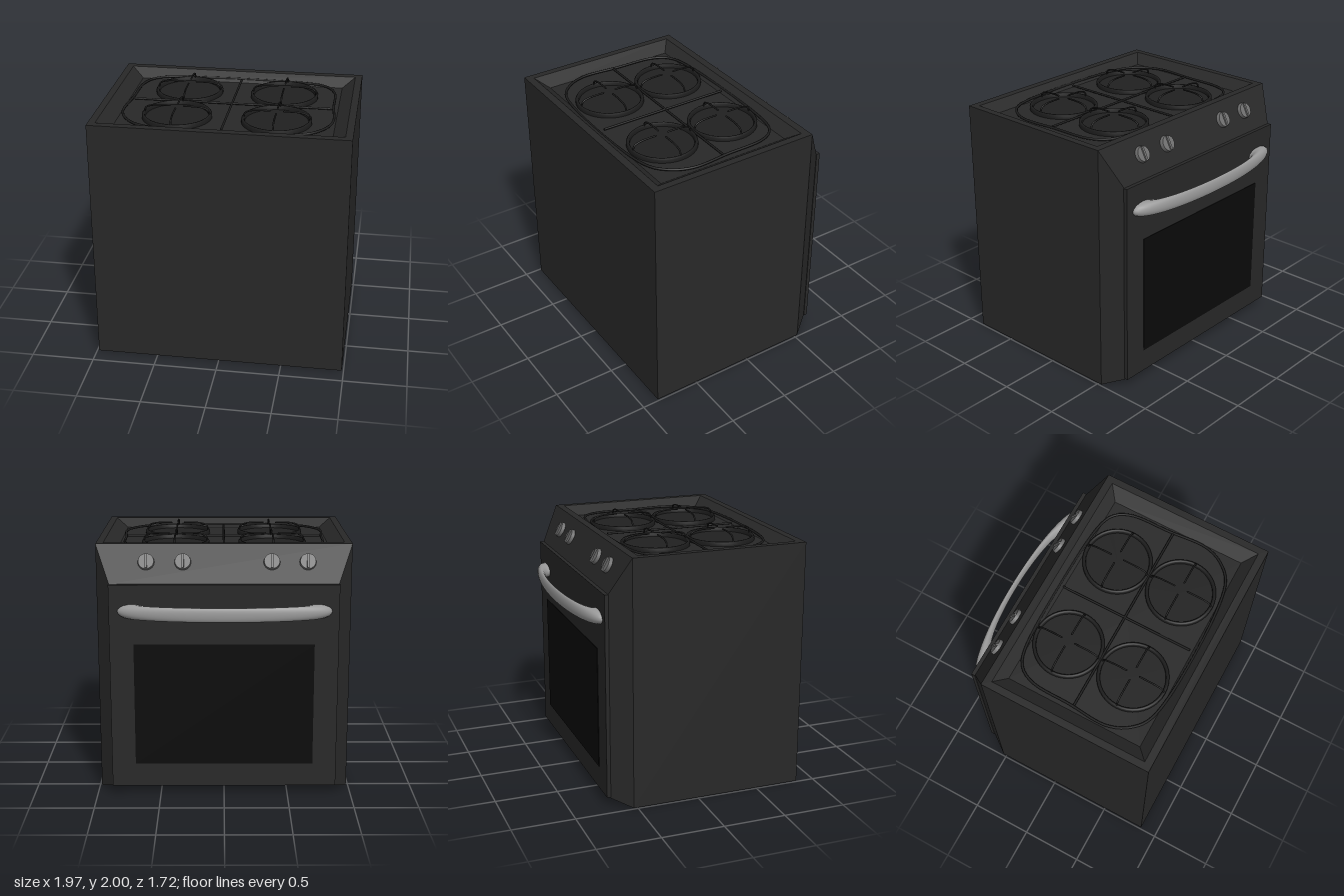
import * as THREE from 'three';

const paint = (color) => new THREE.MeshStandardMaterial({ color });
const enamel = paint(0x282828);
const iron = paint(0x1c1c1c);
const burnerBlack = paint(0x202020);
const glass = paint(0x0a0a0a);
const metal = paint(0x999999);
const knobGrey = paint(0x707070);

function add(parent, name, geometry, material, x = 0, y = 0, z = 0) {
  const mesh = new THREE.Mesh(geometry, material);
  mesh.name = name;
  mesh.position.set(x, y, z);
  parent.add(mesh);
  return mesh;
}

// Flat-shaded skin through a stack of rectangles [halfWidth, zMin, zMax, y]
function stackedRectangles(levels) {
  const loops = levels.map(([w, z0, z1, y]) => [[-w, y, z0], [-w, y, z1], [w, y, z1], [w, y, z0]]);
  const pos = [];
  for (let l = 0; l < loops.length - 1; l++) {
    for (let i = 0; i < 4; i++) {
      const j = (i + 1) % 4;
      const a = loops[l][i], b = loops[l][j], c = loops[l + 1][j], d = loops[l + 1][i];
      pos.push(...a, ...b, ...c, ...a, ...c, ...d);
    }
  }
  const g = new THREE.BufferGeometry();
  g.setAttribute('position', new THREE.Float32BufferAttribute(pos, 3));
  g.computeVertexNormals();
  return g;
}

// Tapered block between the cabinet and the door
function taperedFront() {
  const g = new THREE.BoxGeometry(2, 2, 2).toNonIndexed();
  const p = g.attributes.position;
  for (let i = 0; i < p.count; i++) {
    const near = p.getZ(i) < 0, top = p.getY(i) > 0, side = Math.sign(p.getX(i));
    if (near) p.setXYZ(i, side * 0.875, top ? 1.69 : 0.06, -0.68);
    else p.setXYZ(i, side * 0.985, top ? 1.975 : 0, -0.53);
  }
  g.computeVertexNormals();
  return g;
}

// Bowed handle: elliptical sections spanning an outer and an inner arc
function handleGeometry() {
  const N = 48, M = 20, pos = [], index = [];
  for (let i = 0; i <= N; i++) {
    const a = (Math.PI * i) / N, c = Math.cos(a), s = Math.sin(a);
    const outer = [0.82 * c, -0.155 * s], inner = [0.59 * c, -0.12 * s];
    for (let j = 0; j < M; j++) {
      const t = (2 * Math.PI * j) / M, k = (1 + Math.cos(t)) / 2;
      pos.push(
        inner[0] + (outer[0] - inner[0]) * k,
        0.055 * Math.sin(t),
        inner[1] + (outer[1] - inner[1]) * k
      );
      if (i < N) {
        const p = i * M + j, q = i * M + ((j + 1) % M);
        index.push(p, p + M, q, q, p + M, q + M);
      }
    }
  }
  const g = new THREE.BufferGeometry();
  g.setAttribute('position', new THREE.Float32BufferAttribute(pos, 3));
  g.setIndex(index);
  g.computeVertexNormals();
  return g;
}

// Burner: dark plate, raised ring and four arched pan supports
function burner() {
  const group = new THREE.Group();
  group.name = 'burner';
  const plate = add(group, 'burnerPlate', new THREE.CircleGeometry(0.25, 40), burnerBlack, 0, 0.004, 0);
  plate.rotation.x = -Math.PI / 2;
  const profile = [[0.27, 0], [0.27, 0.025], [0.262, 0.035], [0.252, 0.035], [0.245, 0.025], [0.243, 0]];
  add(group, 'burnerRing', new THREE.LatheGeometry(profile.map(([r, y]) => new THREE.Vector2(r, y)), 40), iron);
  const arch = new THREE.CatmullRomCurve3(
    [[0.255, 0.03], [0.24, 0.065], [0.19, 0.083], [0.12, 0.088], [0.055, 0.088]].map(([r, y]) => new THREE.Vector3(r, y, 0))
  );
  for (let i = 0; i < 4; i++) {
    const support = add(group, 'panSupport', new THREE.TubeGeometry(arch, 14, 0.007, 8), iron);
    support.rotation.y = (i * Math.PI) / 2;
    const tip = add(support, 'supportTip', new THREE.SphereGeometry(0.007, 8, 6), iron, 0.055, 0.088, 0);
    tip.rotation.z = Math.PI / 2;
  }
  return group;
}

// Control knob: disc with a raised grip, axis along +y
function knob() {
  const group = new THREE.Group();
  group.name = 'knob';
  add(group, 'knobDisc', new THREE.CylinderGeometry(0.06, 0.064, 0.028, 32), knobGrey, 0, 0.014, 0);
  add(group, 'knobGrip', new THREE.BoxGeometry(0.018, 0.014, 0.11), knobGrey, 0, 0.033, 0);
  return group;
}

export function createModel() {
  const stove = new THREE.Group();
  stove.name = 'stove';
  const floorY = 1.905;

  // Cabinet with the sunken hob pan
  add(stove, 'cabinet', stackedRectangles([
    [0, 0.16, 0.16, 0],
    [0.985, -0.53, 0.86, 0],
    [0.985, -0.53, 0.86, 1.975],
    [0.93, -0.47, 0.8, 1.975],
    [0.83, -0.39, 0.71, floorY],
    [0, 0.16, 0.16, floorY],
  ]), enamel);
  add(stove, 'taperedFront', taperedFront(), enamel);

  // Oven door, window and handle on the -z side
  add(stove, 'ovenDoor', new THREE.BoxGeometry(1.76, 1.62, 0.03), enamel, 0, 0.88, -0.695);
  add(stove, 'ovenWindow', new THREE.BoxGeometry(1.39, 0.97, 0.012), glass, 0, 0.74, -0.709);
  add(stove, 'doorHandle', handleGeometry(), metal, -0.005, 1.485, -0.708);

  // Knobs, square to the sloping control panel
  const normal = new THREE.Vector3(0, 0.15, -0.285).normalize();
  for (const x of [-0.64, -0.365, 0.315, 0.595]) {
    const k = knob();
    k.position.set(x, 1.845, -0.598);
    k.quaternion.setFromUnitVectors(new THREE.Vector3(0, 1, 0), normal);
    stove.add(k);
  }

  // Burners
  for (const x of [-0.385, 0.385]) {
    for (const z of [-0.13, 0.415]) {
      const b = burner();
      b.position.set(x, floorY, z);
      stove.add(b);
    }
  }

  // Grate: rounded outer rod and two crossing bars
  const half = [[0.6, -0.39], [0.72, -0.33], [0.78, -0.21], [0.795, 0.1], [0.81, 0.42], [0.74, 0.58], [0.59, 0.69]];
  const loop = [...half, ...half.map(([x, z]) => [-x, z]).reverse()].map(([x, z]) => new THREE.Vector3(x, 0, z));
  const rod = new THREE.CatmullRomCurve3(loop, true, 'centripetal');
  add(stove, 'grateFrame', new THREE.TubeGeometry(rod, 120, 0.01, 8, true), iron, 0, floorY + 0.022, 0);
  add(stove, 'grateBarLong', new THREE.CylinderGeometry(0.009, 0.009, 1.6, 8), iron, 0, floorY + 0.022, 0.14)
    .rotation.z = Math.PI / 2;
  add(stove, 'grateBarCross', new THREE.CylinderGeometry(0.009, 0.009, 1.08, 8), iron, 0, floorY + 0.022, 0.15)
    .rotation.x = Math.PI / 2;

  return stove;
}
